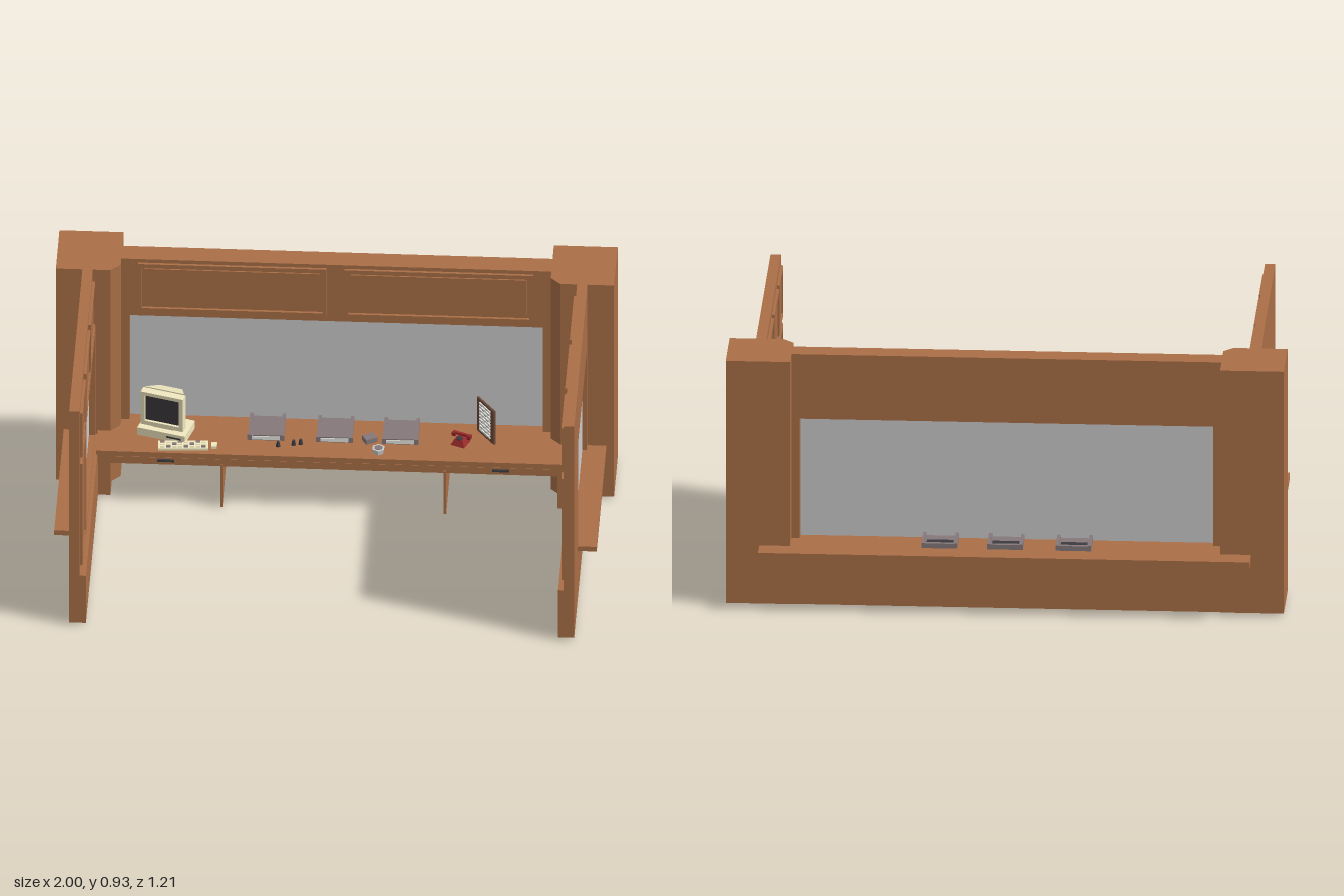
import * as THREE from 'three';

const mat = (color) => new THREE.MeshStandardMaterial({ color, flatShading: true });
const wood = mat(0xaa6f47), glass = mat(0xcccccc), cream = mat(0xf0e8bf), dark = mat(0x3c3a3e);
const metal = mat(0x85787a), paper = mat(0xe8e8e4), red = mat(0x9c2a2a), brown = mat(0x6b4a38);

export function createModel() {
  const model = new THREE.Group();

  const add = (name, geo, m, parent = model) => {
    const mesh = new THREE.Mesh(geo, m);
    mesh.name = name;
    parent.add(mesh);
    return mesh;
  };
  // Box from its two opposite corners
  const box = (name, m, x0, x1, y0, y1, z0, z1, parent = model) => {
    const g = new THREE.BoxGeometry(Math.abs(x1 - x0), Math.abs(y1 - y0), Math.abs(z1 - z0));
    g.translate((x0 + x1) / 2, (y0 + y1) / 2, (z0 + z1) / 2);
    return add(name, g, m, parent);
  };
  const outline = (pts, Kind = THREE.Shape) => new Kind(pts.map((p) => new THREE.Vector2(...p)));
  const rect = (u0, u1, v0, v1) => [[u0, v0], [u1, v0], [u1, v1], [u0, v1]];
  // Slab with a rectangular opening
  const slab = (outer, hole, depth) => {
    const s = outline(rect(...outer));
    s.holes.push(outline(rect(...hole), THREE.Path));
    return new THREE.ExtrudeGeometry(s, { depth, bevelEnabled: false });
  };
  // Slab drawn in (z, y) and running from x0 to x1
  const sideSlab = (name, outer, hole, x0, x1, parent) => {
    const g = slab(outer, hole, Math.abs(x1 - x0));
    g.rotateY(-Math.PI / 2).translate(Math.max(x0, x1), 0, 0);
    return add(name, g, wood, parent);
  };
  const inset = ([a, b, c, d], t) => [a + t, b - t, c + t, d - t];

  // Back wall: lower part, upper part with window, header panels
  box('lowerBackWall', wood, -0.8, 0.8, 0.015, 0.21, -0.522, -0.42);
  add('backWall', slab([-0.78, 0.78, 0.2, 0.935], [-0.74, 0.74, 0.235, 0.69], 0.08), wood).position.z = -0.44;
  box('backWindow', glass, -0.745, 0.745, 0.23, 0.695, -0.405, -0.395);
  for (const [u0, u1] of [[-0.71, -0.035], [0.03, 0.705]]) {
    const r = [u0, u1, 0.715, 0.92];
    add('headerFrame', slab(r, inset(r, 0.014), 0.012), wood).position.z = -0.362;
    const i = inset(r, 0.024);
    box('headerPanel', wood, ...i, -0.362, -0.355);
  }

  // Counter and its overhanging back ledge
  box('counter', wood, -0.85, 0.85, 0.215, 0.236, -0.522, -0.157);
  const ledge = new THREE.ExtrudeGeometry(
    outline([[-0.605, 0.211], [-0.52, 0.205], [-0.52, 0.236], [-0.605, 0.236]]),
    { depth: 1.76, bevelEnabled: false });
  add('backLedge', ledge.rotateY(-Math.PI / 2).translate(0.88, 0, 0), wood);
  box('drawerApron', wood, -0.85, 0.85, 0.18, 0.216, -0.43, -0.164);
  for (const x of [-0.6, 0, 0.6]) {
    const w = x ? 0.195 : 0.39;
    box('drawerFront', wood, x - w, x + w, 0.183, 0.212, -0.17, -0.16);
    if (x) box('drawerHandle', dark, x - 0.03, x + 0.03, 0.198, 0.206, -0.162, -0.153);
  }
  // Support fins under the counter
  for (const x of [-0.4, 0.4]) {
    const fin = new THREE.ExtrudeGeometry(
      outline([[-0.425, 0.018], [-0.16, 0.004], [-0.16, 0.19], [-0.425, 0.19]]),
      { depth: 0.01, bevelEnabled: false });
    add('counterSupport', fin.rotateY(-Math.PI / 2).translate(x + 0.005, 0, 0), wood);
  }

  // Corner posts and side walls, mirrored
  for (const s of [-1, 1]) {
    const side = new THREE.Group();
    side.name = s > 0 ? 'leftSide' : 'rightSide';
    model.add(side);
    const plan = [[1, -0.525], [0.77, -0.525], [0.77, -0.32], [0.805, -0.285], [1, -0.285]];
    const post = new THREE.ExtrudeGeometry(outline(plan.map(([x, z]) => [s * x, z])),
      { depth: 0.92, bevelEnabled: false });
    add('cornerPost', post.rotateX(Math.PI / 2).translate(0, 0.935, 0), wood, side);
    box('postBase', wood, s * 0.8, s * 0.86, 0.015, 0.19, -0.3, -0.2, side);

    const opening = [-0.255, 0.325, 0.235, 0.68];
    sideSlab('sideWall', [-0.29, 0.605, 0.015, 0.935], opening, s * 0.868, s * 0.905, side);
    box('sideWindow', glass, s * 0.88, s * 0.888, 0.23, 0.685, -0.26, 0.33, side);
    box('sideSill', wood, s * 0.9, s * 0.972, 0.216, 0.236, -0.285, 0.35, side);
    box('wainscot', wood, s * 0.845, s * 0.87, 0.015, 0.22, -0.285, 0.605, side);
    sideSlab('windowTrim', [-0.275, 0.342, 0.22, 0.697], opening, s * 0.858, s * 0.87, side);
    // Framed panels on the inner face
    for (const r of [[-0.255, 0.02, 0.715, 0.905], [0.05, 0.325, 0.715, 0.905],
      [0.36, 0.575, 0.715, 0.905], [0.36, 0.575, 0.245, 0.685]]) {
      sideSlab('panelFrame', r, inset(r, 0.014), s * 0.858, s * 0.87, side);
      const [z0, z1, y0, y1] = inset(r, 0.026);
      box('panelField', wood, s * 0.862, s * 0.87, y0, y1, z0, z1, side);
    }
  }

  // Pass-through trays under the window
  for (const x of [-0.245, 0, 0.235]) {
    const tray = new THREE.Group();
    tray.name = 'passTray';
    tray.position.set(x, 0.236, 0);
    model.add(tray);
    box('trayFloor', metal, -0.06, 0.06, 0, 0.008, -0.515, -0.26, tray);
    box('trayPit', dark, -0.048, 0.048, 0.007, 0.01, -0.5, -0.455, tray);
    box('trayLip', metal, -0.064, 0.064, 0, 0.018, -0.52, -0.505, tray);
    box('trayCover', metal, -0.06, 0.06, 0, 0.018, -0.35, -0.26, tray);
    box('trayFront', metal, -0.066, 0.066, 0, 0.022, -0.262, -0.254, tray);
    box('trayLabel', paper, -0.05, 0.05, 0.004, 0.018, -0.255, -0.251, tray);
    for (const s of [-1, 1]) box('trayRail', metal, s * 0.052, s * 0.064, 0, 0.02, -0.52, -0.254, tray);
  }

  // Computer
  const computer = new THREE.Group();
  computer.name = 'computer';
  computer.position.set(-0.605, 0.236, -0.295);
  computer.rotation.y = -0.29;
  model.add(computer);
  box('case', cream, -0.09, 0.09, 0, 0.032, -0.05, 0.058, computer);
  box('driveSlot', dark, 0.02, 0.075, 0.014, 0.02, 0.05, 0.06, computer);
  box('monitorFoot', cream, -0.04, 0.04, 0.03, 0.05, -0.035, 0.035, computer);
  const tube = new THREE.CylinderGeometry(0.06, 0.105, 0.07, 4, 1).rotateY(Math.PI / 4);
  tube.rotateX(-Math.PI / 2).translate(0, 0.115, -0.015);
  add('monitorBack', tube, cream, computer);
  add('monitorBezel', slab([-0.08, 0.08, 0.045, 0.185], [-0.064, 0.064, 0.062, 0.171], 0.03), cream, computer)
    .position.z = 0.02;
  box('screen', dark, -0.066, 0.066, 0.06, 0.173, 0.02, 0.04, computer);

  const keyboard = new THREE.Group();
  keyboard.name = 'keyboard';
  keyboard.position.set(-0.54, 0.236, -0.2);
  keyboard.rotation.y = 0.05;
  model.add(keyboard);
  box('keyboardBase', cream, -0.09, 0.09, 0, 0.008, -0.025, 0.025, keyboard);
  for (let r = 0; r < 3; r++) for (let c = 0; c < 8; c++) {
    const x = -0.082 + c * 0.021, z = -0.02 + r * 0.014;
    box('key', (r + c) % 3 ? cream : metal, x, x + 0.016, 0.007, 0.012, z, z + 0.011, keyboard);
  }
  box('mouse', cream, -0.44, -0.42, 0.236, 0.246, -0.22, -0.19);

  // Letter rack standing at an angle
  const rack = new THREE.Group();
  rack.name = 'letterRack';
  rack.position.set(0.538, 0.236, -0.315);
  rack.rotation.y = -0.95;
  model.add(rack);
  box('rackBoard', brown, -0.056, 0.056, 0, 0.144, -0.006, 0.002, rack);
  for (let i = 0; i < 9; i++) box('rackCard', paper, -0.036, 0.036, 0.014 + i * 0.014, 0.022 + i * 0.014, 0, 0.006, rack);

  // Telephone
  const phone = new THREE.Group();
  phone.name = 'telephone';
  phone.position.set(0.45, 0.236, -0.275);
  phone.rotation.y = -0.4;
  model.add(phone);
  const body = new THREE.CylinderGeometry(0.022, 0.038, 0.024, 4).rotateY(Math.PI / 4).translate(0, 0.012, 0);
  add('phoneBody', body, red, phone);
  add('dial', new THREE.CylinderGeometry(0.012, 0.012, 0.004, 10).translate(0, 0.025, 0.008), dark, phone);
  box('handset', red, -0.034, 0.034, 0.028, 0.036, -0.016, -0.006, phone);
  for (const s of [-1, 1]) box('earpiece', red, s * 0.022, s * 0.036, 0.02, 0.034, -0.02, -0.002, phone);

  // Small desk items
  const stamp = box('stampPad', metal, -0.022, 0.022, 0, 0.02, -0.018, 0.018);
  stamp.position.set(0.125, 0.236, -0.27);
  stamp.rotation.y = 0.5;
  add('cup', new THREE.CylinderGeometry(0.024, 0.02, 0.02, 6).translate(0.16, 0.246, -0.2), glass);
  add('cupInside', new THREE.CylinderGeometry(0.016, 0.016, 0.002, 6).translate(0.16, 0.2565, -0.2), metal);
  for (const [x, z] of [[-0.2, -0.22], [-0.145, -0.232], [-0.12, -0.238]])
    add('inkStamp', new THREE.CylinderGeometry(0.005, 0.009, 0.02, 6).translate(x, 0.246, z), dark);

  return model;
}
